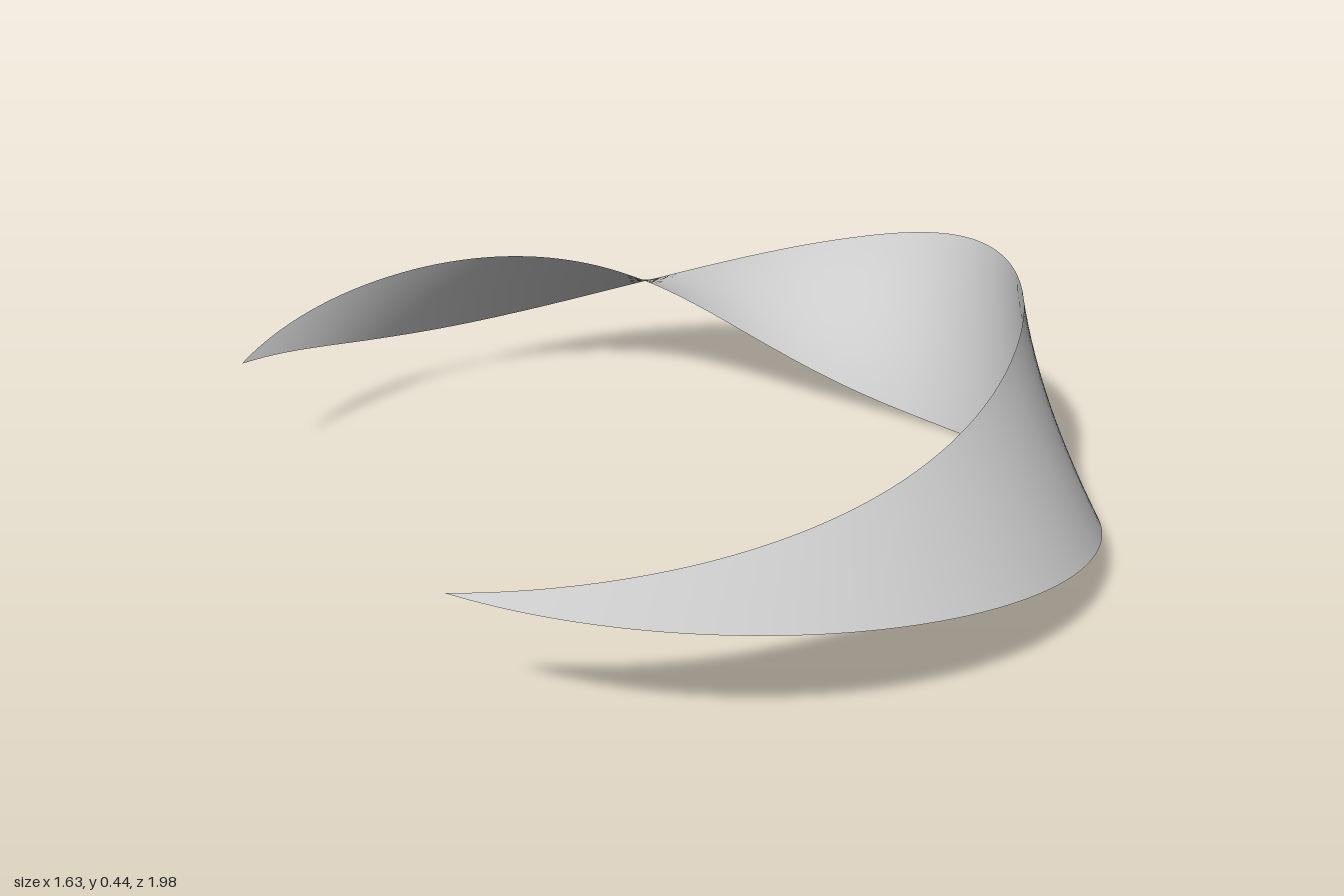
import * as THREE from 'three';

const RADIUS = 0.905;      // radius of the ribbon's centre line
const HALF_WIDTH = 0.2225; // half width at the middle of the arc
const CENTRE = new THREE.Vector3(-0.18, HALF_WIDTH, -0.02);

// Tilt of the ribbon in degrees, at even steps from the front tip to the back tip
const TILTS = [26, 30, 43, 66, 102, 154, 209, 262, 315];
const tiltCurve = new THREE.SplineCurve(
  TILTS.map((tilt, i) => new THREE.Vector2(i, tilt))
);

// Point on the ribbon: s runs along the arc (0..1), v across it (-1..1)
function ribbonPoint(s, v) {
  const angle = Math.PI * (0.75 - 1.5 * s); // three quarters of a circle
  const tilt = THREE.MathUtils.degToRad(tiltCurve.getPoint(s).y);
  const offset = v * HALF_WIDTH * Math.sin(Math.PI * s); // tapers to both tips
  const r = RADIUS + offset * Math.cos(tilt);
  return new THREE.Vector3(
    r * Math.cos(angle),
    -offset * Math.sin(tilt),
    r * Math.sin(angle)
  ).add(CENTRE);
}

export function createModel() {
  const group = new THREE.Group();
  group.name = 'twistedRibbon';

  // Flat strip bent into the twisted, tapering arc
  const geometry = new THREE.PlaneGeometry(1, 2, 200, 12);
  const pos = geometry.attributes.position;
  for (let i = 0; i < pos.count; i++) {
    const p = ribbonPoint(pos.getX(i) + 0.5, pos.getY(i));
    pos.setXYZ(i, p.x, p.y, p.z);
  }
  geometry.computeVertexNormals();

  const ribbon = new THREE.Mesh(
    geometry,
    new THREE.MeshStandardMaterial({ color: 0xcccccc, side: THREE.DoubleSide })
  );
  ribbon.name = 'ribbon';
  group.add(ribbon);
  return group;
}
